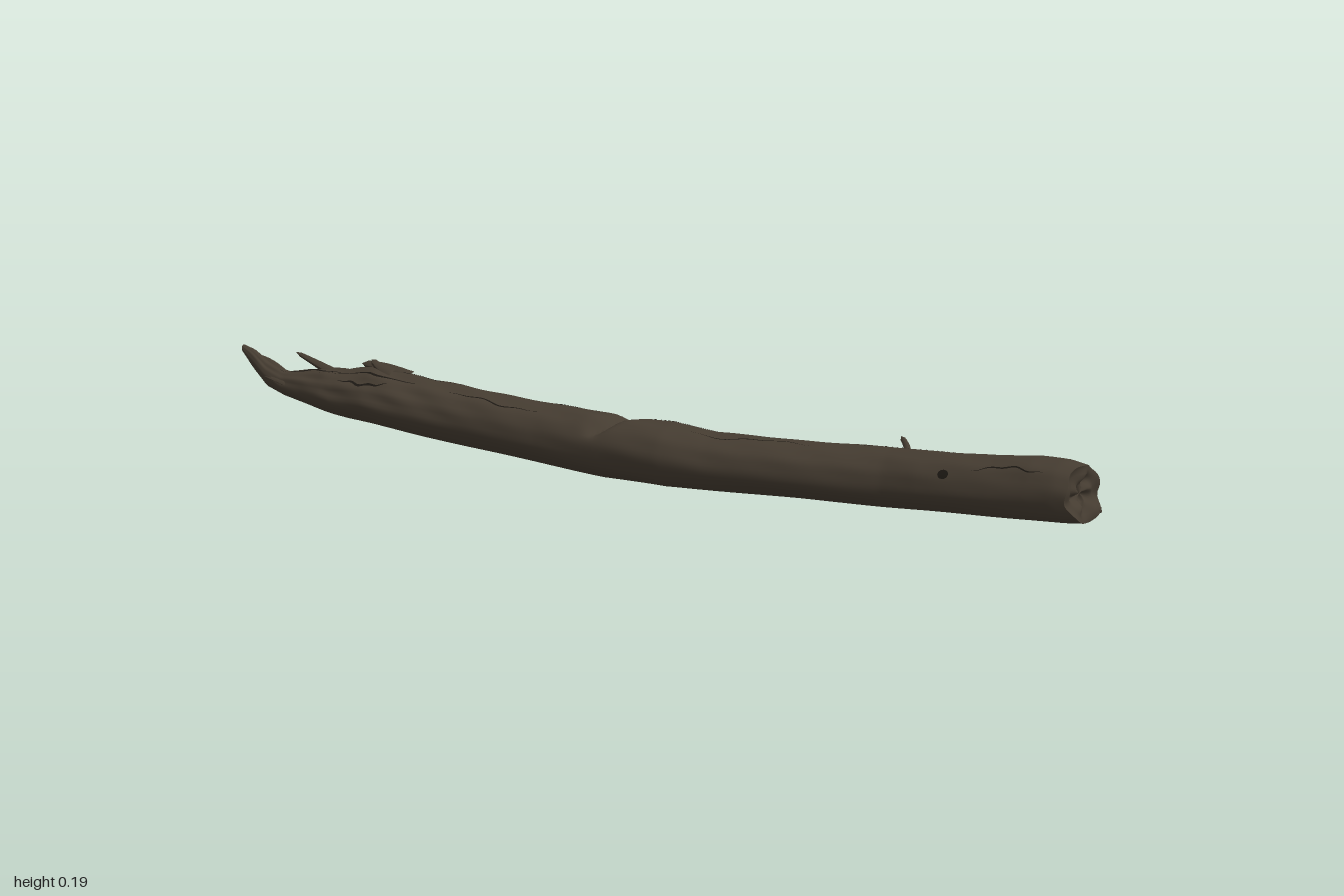
import * as THREE from 'three';

const { smoothstep, lerp } = THREE.MathUtils;

// Cross-sections along the log: x, bottom, top, back z, front z
const SECTIONS = [
  [-1.0, 0.172, 0.19, -0.006, 0.008], [-0.97, 0.135, 0.18, -0.012, 0.013],
  [-0.93, 0.1, 0.155, -0.016, 0.022], [-0.88, 0.085, 0.14, -0.026, 0.033],
  [-0.82, 0.073, 0.148, -0.036, 0.042], [-0.76, 0.061, 0.155, -0.048, 0.055],
  [-0.73, 0.055, 0.155, -0.066, 0.059], [-0.7, 0.05, 0.16, -0.08, 0.061],
  [-0.64, 0.045, 0.168, -0.085, 0.065], [-0.52, 0.034, 0.159, -0.082, 0.065],
  [-0.4, 0.025, 0.151, -0.079, 0.065], [-0.2, 0.012, 0.141, -0.07, 0.067],
  [-0.05, 0.004, 0.138, -0.056, 0.078], [0.1, 0.003, 0.138, -0.051, 0.085],
  [0.2, 0.008, 0.127, -0.051, 0.081], [0.4, 0.015, 0.132, -0.056, 0.071],
  [0.58, 0.02, 0.139, -0.06, 0.062], [0.65, 0.026, 0.144, -0.048, 0.069],
  [0.8, 0.035, 0.155, -0.039, 0.075], [0.88, 0.04, 0.164, -0.037, 0.077],
  [0.94, 0.043, 0.164, -0.037, 0.077], [0.97, 0.046, 0.158, -0.036, 0.074],
];
const X0 = -1, X1 = 0.97;

function section(x) {
  let i = 0;
  while (i < SECTIONS.length - 2 && x > SECTIONS[i + 1][0]) i++;
  const a = SECTIONS[i], b = SECTIONS[i + 1];
  const t = (x - a[0]) / (b[0] - a[0]);
  return a.map((v, k) => lerp(v, b[k], t));
}

// Point on the bark at length x and angle a (0 = front, PI/2 = top)
function bark(x, a, scale = 1) {
  const [, y0, y1, z0, z1] = section(x);
  const s = Math.sin(a), c = Math.cos(a);
  const ragged = 1 - smoothstep(x, -0.65, -0.2) * 0.75;
  const upper = smoothstep(s, -0.4, 0.7);
  const rough = 0.012 * Math.sin(3 * a + 5 * x) + 0.01 * Math.sin(7 * a + 4 * Math.sin(3 * x))
    + 0.01 * Math.sin(19 * x + 2 * a)
    + ragged * upper * (0.035 * Math.sin(11 * a + 6 * x) + 0.03 * Math.sin(47 * x + 5 * a));
  const r = scale * (0.995 + rough);
  // notch across the top, running diagonally down the front
  const notch = 0.026 * smoothstep(s, 0.3, 0.95) * Math.exp(-(((x + 0.02 + 0.05 * c) / 0.022) ** 2));
  const y = (y0 + y1) / 2 + (y1 - y0) / 2 * s * r - notch;
  const z = (z0 + z1) / 2 + (z1 - z0) / 2 * c * r;
  // slanted, uneven cut at the right end
  const cut = smoothstep(x, 0.84, X1);
  const slant = -0.3 * (z - 0.02) + 0.014 * smoothstep(-y, -0.095, -0.06) + 0.003 * Math.sin(5 * a);
  return [x + cut * slant, Math.max(y, 0), z];
}

// Grid of quads; rows run along u, columns along v
function grid(rows, cols, point, closed) {
  const pos = [], index = [], n = closed ? cols : cols + 1;
  for (let i = 0; i <= rows; i++)
    for (let j = 0; j < n; j++) pos.push(...point(i / rows, j / cols));
  for (let i = 0; i < rows; i++)
    for (let j = 0; j < cols; j++) {
      const k = (j + 1) % n, a = i * n + j, b = a + n, c = i * n + k, d = c + n;
      index.push(a, b, c, b, d, c);
    }
  const g = new THREE.BufferGeometry();
  g.setAttribute('position', new THREE.Float32BufferAttribute(pos, 3));
  g.setIndex(index);
  g.computeVertexNormals();
  return g;
}

export function createModel() {
  const log = new THREE.Group();
  log.name = 'log';
  const wood = new THREE.MeshStandardMaterial({ color: 0x453c31 });
  wood.name = 'weathered wood';
  const dark = new THREE.MeshStandardMaterial({ color: 0x1c1813, side: THREE.DoubleSide });
  dark.name = 'dark crack';
  const add = (name, geometry, material = wood) => {
    const mesh = new THREE.Mesh(geometry, material);
    mesh.name = name;
    log.add(mesh);
  };

  // Trunk
  const TAU = Math.PI * 2;
  add('trunk', grid(240, 48, (u, v) => bark(lerp(X0, X1, u), v * TAU), true));

  // Broken faces at both ends
  add('rightEnd', grid(7, 48, (u, v) => {
    const p = bark(X1, v * TAU, 1 - u);
    p[0] += Math.sin(u * Math.PI) * 0.005 * Math.sin(v * TAU * 3 + u * 9) - 0.008 * u;
    return p;
  }, true));
  add('leftTip', grid(1, 48, (u, v) => bark(X0, -v * TAU, 1 - u), true));

  // Splinters and twig stubs: tapered, slightly bent spikes
  const spike = (name, points, r0, r1) => {
    const curve = new THREE.CatmullRomCurve3(points.map(p => new THREE.Vector3(...p)));
    const g = new THREE.TubeGeometry(curve, 8, 1, 7);
    const pos = g.attributes.position, v = new THREE.Vector3();
    for (let i = 0; i < pos.count; i++) {
      const t = Math.floor(i / 8) / 8, mid = curve.getPointAt(t);
      const r = t === 1 ? 0 : lerp(r0, r1, t);
      v.fromBufferAttribute(pos, i).sub(mid).multiplyScalar(r).add(mid);
      pos.setXYZ(i, v.x, v.y, v.z);
    }
    g.computeVertexNormals();
    add(name, g);
  };
  spike('longSplinter', [[-0.76, 0.14, -0.02], [-0.82, 0.158, -0.03], [-0.88, 0.178, -0.034]], 0.013, 0.004);
  spike('backSplinter', [[-0.66, 0.125, -0.072], [-0.73, 0.13, -0.079], [-0.79, 0.128, -0.08]], 0.016, 0.006);
  spike('sideSplinter', [[-0.7, 0.13, -0.05], [-0.76, 0.14, -0.056], [-0.8, 0.143, -0.05]], 0.014, 0.004);
  spike('topSplinter', [[-0.56, 0.15, -0.025], [-0.63, 0.165, -0.03], [-0.7, 0.17, -0.035]], 0.018, 0.008);
  spike('topShard', [[-0.6, 0.155, -0.01], [-0.64, 0.172, -0.015], [-0.66, 0.187, -0.015]], 0.018, 0.006);
  spike('frontSplinter', [[-0.8, 0.1, 0.025], [-0.87, 0.117, 0.025], [-0.94, 0.13, 0.018]], 0.015, 0.004);
  spike('tipSplinter', [[-0.88, 0.12, 0], [-0.93, 0.15, -0.008], [-0.98, 0.167, -0.012]], 0.016, 0.004);
  spike('twigStub', [[0.6, 0.105, -0.04], [0.59, 0.13, -0.056], [0.575, 0.148, -0.063]], 0.009, 0.005);
  spike('endSplinter', [[0.95, 0.07, -0.015], [0.98, 0.066, -0.02], [1.0, 0.06, -0.02]], 0.02, 0.008);

  // Cracks following the grain: start x, end x, angle, half width
  const cracks = [
    [-0.78, -0.5, 1.2, 0.05], [-0.72, -0.58, 0.75, 0.05], [-0.66, -0.4, 1.75, 0.04],
    [-0.75, -0.55, 2.3, 0.05], [-0.7, -0.48, 2.8, 0.04], [-0.9, -0.72, 1.5, 0.06],
    [-0.45, -0.2, 1.0, 0.025], [-0.3, -0.04, 2.1, 0.03], [0.0, 0.24, 1.9, 0.03],
    [0.15, 0.42, 1.3, 0.02], [0.5, 0.72, 1.6, 0.02], [0.76, 0.92, 0.8, 0.03],
  ];
  cracks.forEach(([a, b, angle, w], k) => add('crack' + (k + 1), grid(24, 2, (u, v) => {
    const wander = 0.08 * Math.sin(u * 7 + k) + 0.04 * Math.sin(u * 19 + k * 2);
    return bark(lerp(a, b, u), angle + wander + (v - 0.5) * 2 * w * Math.sin(u * Math.PI), 1.012);
  }, false), dark));

  // Small knot on the front
  add('knot', grid(3, 12, (u, v) => bark(0.71 + 0.011 * (1 - u) * Math.cos(v * TAU),
    0.5 + 0.16 * (1 - u) * Math.sin(v * TAU), 1.012), true), dark);

  return log;
}
